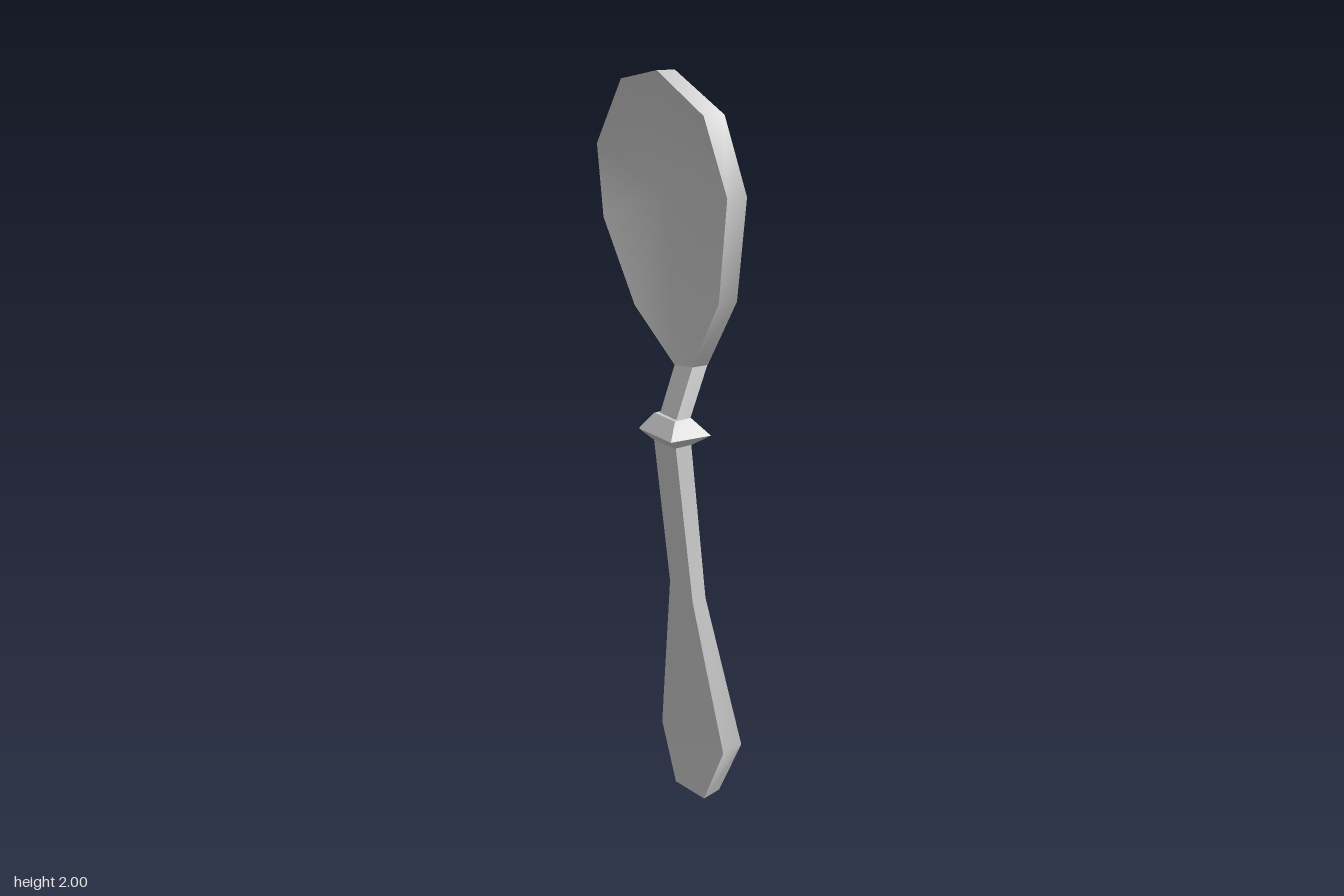
import * as THREE from 'three';
import { toCreasedNormals } from 'three/addons/utils/BufferGeometryUtils.js';

const material = new THREE.MeshStandardMaterial({ color: 0xcccccc });

function indexed(points, index) {
  const g = new THREE.BufferGeometry();
  g.setAttribute('position', new THREE.Float32BufferAttribute(points.flat(), 3));
  g.setIndex(index);
  g.computeVertexNormals();
  return g;
}

function addPart(group, name, geometry) {
  const mesh = new THREE.Mesh(geometry, material);
  mesh.name = name;
  group.add(mesh);
}

// Skin four-cornered rings, listed from bottom to top, and cap both ends
function loft(rings, crease) {
  const index = [0, 2, 1, 0, 3, 2];
  for (let r = 0; r < rings.length - 1; r++) {
    for (let i = 0; i < 4; i++) {
      const a = r * 4 + i, b = r * 4 + (i + 1) % 4;
      index.push(a, b, b + 4, a, b + 4, a + 4);
    }
  }
  const t = (rings.length - 1) * 4;
  index.push(t, t + 1, t + 2, t, t + 2, t + 3);
  return toCreasedNormals(indexed(rings.flat(), index), crease);
}

// Ring from its two front corners and the offset to the back corners
function ring(left, right, offset) {
  const shift = (p) => p.map((v, i) => v + offset[i]);
  return [left, right, shift(right), shift(left)];
}

// Ring of a level trapezoid, narrower at the front
function level(y, x0, x1, z0, z1, inset = 0) {
  return [[x0 + inset, y, z1], [x1 - inset, y, z1], [x1, y, z0], [x0, y, z0]];
}

// Rim of the bowl, counterclockwise from the front: x, y, front z, back z
const rim = [
  [0.045, 1.25, 0.01, -0.035], [0.12, 1.26, 0.007, -0.037],
  [0.232, 1.45, 0.01, -0.042], [0.268, 1.715, 0.016, -0.039],
  [0.2, 1.905, 0.038, -0.02], [0.012, 2.0, 0.042, -0.008],
  [-0.153, 1.97, 0.038, -0.014], [-0.276, 1.795, 0.035, -0.025],
  [-0.257, 1.6, 0.03, -0.033], [-0.125, 1.38, 0.02, -0.034],
];

function createBowl() {
  const bowl = new THREE.Group();
  bowl.name = 'bowl';
  const n = rim.length;
  const front = rim.map(([x, y, z]) => [x, y, z]);
  const back = rim.map(([x, y, , z]) => [x + 0.007, y, z]);

  // Both dished faces fan out to a short ridge at the deepest place
  const dish = [];
  const ridge = (i) => (rim[i][0] < 0.05 ? n : n + 1);
  for (let i = 0; i < n; i++) {
    const j = (i + 1) % n;
    dish.push(i, j, ridge(i));
    if (ridge(i) !== ridge(j)) dish.push(j, ridge(j), ridge(i));
  }
  const frontRidge = [[-0.108, 1.68, -0.068], [0.075, 1.71, -0.068]];
  const backRidge = [[-0.105, 1.68, -0.119], [0.078, 1.71, -0.119]];
  addPart(bowl, 'bowlInside', indexed([...front, ...frontRidge], dish));
  addPart(bowl, 'bowlBack', indexed([...back, ...backRidge], [...dish].reverse()));

  // Band joining the two rims
  const band = [];
  for (let i = 0; i < n; i++) {
    const j = (i + 1) % n;
    band.push(i, n + i, n + j, i, n + j, j);
  }
  addPart(bowl, 'bowlRim', toCreasedNormals(indexed([...front, ...back], band), 0.8));
  return bowl;
}

export function createModel() {
  const spoon = new THREE.Group();
  spoon.name = 'spoon';
  spoon.add(createBowl());

  // Neck leaning back from the collar to the bowl
  addPart(spoon, 'neck', loft([
    ring([0.07, 1.12, 0.08], [0.145, 1.125, 0.08], [0.003, 0, -0.043]),
    ring([0.045, 1.25, 0.01], [0.12, 1.26, 0.007], [0.007, 0.003, -0.044]),
  ], 0.5));

  // Double-bevelled collar
  addPart(spoon, 'collar', loft([
    level(1.065, 0.06, 0.16, 0.038, 0.092),
    level(1.092, 0.02, 0.193, 0, 0.118, 0.014),
    level(1.135, 0.057, 0.15, 0.033, 0.084),
  ], 0.3));

  // Flat handle, slightly twisted and widening towards its end
  addPart(spoon, 'handle', loft([
    ring([0.083, 0.008, 0.03], [0.195, 0.003, 0.012], [-0.014, -0.002, -0.065]),
    ring([0.015, 0.175, 0.03], [0.252, 0.17, -0.01], [-0.01, 0, -0.072]),
    ring([0.095, 0.66, 0.06], [0.192, 0.63, 0.055], [-0.004, 0, -0.046]),
    ring([0.062, 1.075, 0.09], [0.16, 1.075, 0.09], [0, 0, -0.05]),
  ], 0.5));

  return spoon;
}
